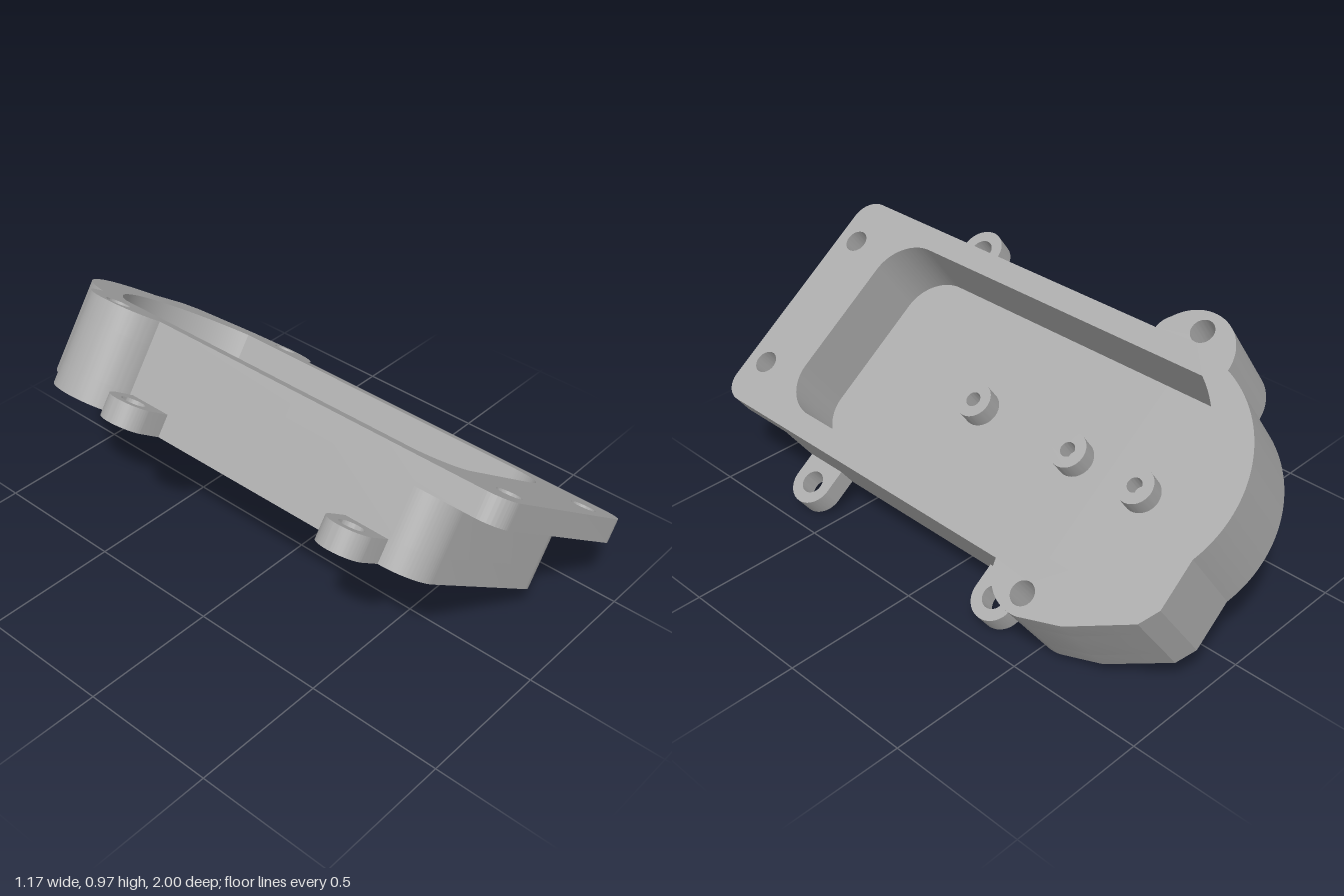
import * as THREE from 'three';
import { toCreasedNormals } from 'three/addons/utils/BufferGeometryUtils.js';

const FLOOR = 0.085, RIM = 0.255, TOP = 0.34; // heights across the housing
const END = 0.555;                            // centre of the rounded end

const circle = (x, y, r) => new THREE.Path().absarc(x, y, r, 0, Math.PI * 2, false);

// Outer outline: straight sides, two ears, a round end and a faceted shoulder
function outline(front, r) {
  const s = new THREE.Shape();
  s.moveTo(-0.45, -front + r);
  s.absarc(-0.45 + r, -front + r, r, Math.PI, Math.PI * 1.5, false);
  s.absarc(0.45 - r, -front + r, r, -Math.PI / 2, 0, false);
  s.absarc(0.415, END, 0.157, -1.346, 0.2, false);
  s.lineTo(0.522, 0.735);
  s.lineTo(0.4, 0.94);
  s.lineTo(0.332, 0.977);
  s.lineTo(0.154, 0.972);
  s.absarc(0, END, 0.445, 1.217, 2.78, false);
  s.absarc(-0.415, END, 0.157, Math.PI / 2, 4.488, false);
  s.closePath();
  for (const side of [-1, 1]) s.holes.push(circle(side * 0.5, END, 0.042));
  return s;
}

// Pocket outline: rounded front corners and a bowed rear wall
function pocket() {
  const p = new THREE.Path(), w = 0.366, f = 0.745, r = 0.15, R = 0.44;
  const a = Math.acos(w / R);
  p.moveTo(-w, -f + r);
  p.absarc(-w + r, -f + r, r, Math.PI, Math.PI * 1.5, false);
  p.absarc(w - r, -f + r, r, -Math.PI / 2, 0, false);
  p.absarc(0, 0.402, R, a, Math.PI - a, false);
  p.closePath();
  return p;
}

export function createModel() {
  const grey = new THREE.MeshStandardMaterial({ color: 0xaaaaaa });
  grey.name = 'grey';
  const housing = new THREE.Group();
  housing.name = 'housing';

  // Extrudes a plan outline upward between two heights
  const slab = (name, shape, y0, y1, x = 0, z = 0) => {
    const g = new THREE.ExtrudeGeometry(shape, { depth: y1 - y0, bevelEnabled: false, curveSegments: 28 });
    g.rotateX(-Math.PI / 2);
    const mesh = new THREE.Mesh(toCreasedNormals(g, 0.35), grey);
    mesh.position.set(x, y0, z);
    mesh.name = name;
    housing.add(mesh);
    return mesh;
  };

  // Floor and walls
  slab('floor', outline(0.83, 0.125), 0, FLOOR);
  const walls = outline(0.83, 0.125);
  walls.holes.push(pocket());
  slab('walls', walls, FLOOR, RIM);

  // Rim with a drilled front overhang
  const rim = outline(1, 0.08);
  rim.holes.push(pocket());
  for (const side of [-1, 1]) rim.holes.push(circle(side * 0.28, -0.915, 0.042));
  slab('rim', rim, RIM, TOP);

  // Hollow posts on the pocket floor
  for (const z of [-0.555, -0.265, 0.18]) {
    const post = new THREE.Shape().absarc(0, 0, 0.067, 0, Math.PI * 2, false);
    post.holes.push(circle(0, 0, 0.027));
    slab('post', post, FLOOR, FLOOR + 0.07, 0, z);
  }

  // Mounting tabs, two on each side
  for (const side of [-1, 1]) for (const z of [-0.307, 0.62]) {
    const tab = new THREE.Shape();
    tab.moveTo(-0.095, -0.083);
    tab.lineTo(0, -0.083);
    tab.absarc(0, 0, 0.083, -Math.PI / 2, Math.PI / 2, false);
    tab.lineTo(-0.095, 0.083);
    tab.closePath();
    tab.holes.push(circle(0, 0, 0.042));
    const mesh = slab(side > 0 ? 'leftTab' : 'rightTab', tab, 0, 0.08, side * 0.535, z);
    if (side < 0) mesh.rotation.y = Math.PI;
  }

  // Lean the whole housing sideways
  housing.rotation.z = -THREE.MathUtils.degToRad(35.57);
  housing.position.set(-0.083, 0.36, 0);
  const model = new THREE.Group();
  model.name = 'tiltedHousing';
  model.add(housing);
  return model;
}
